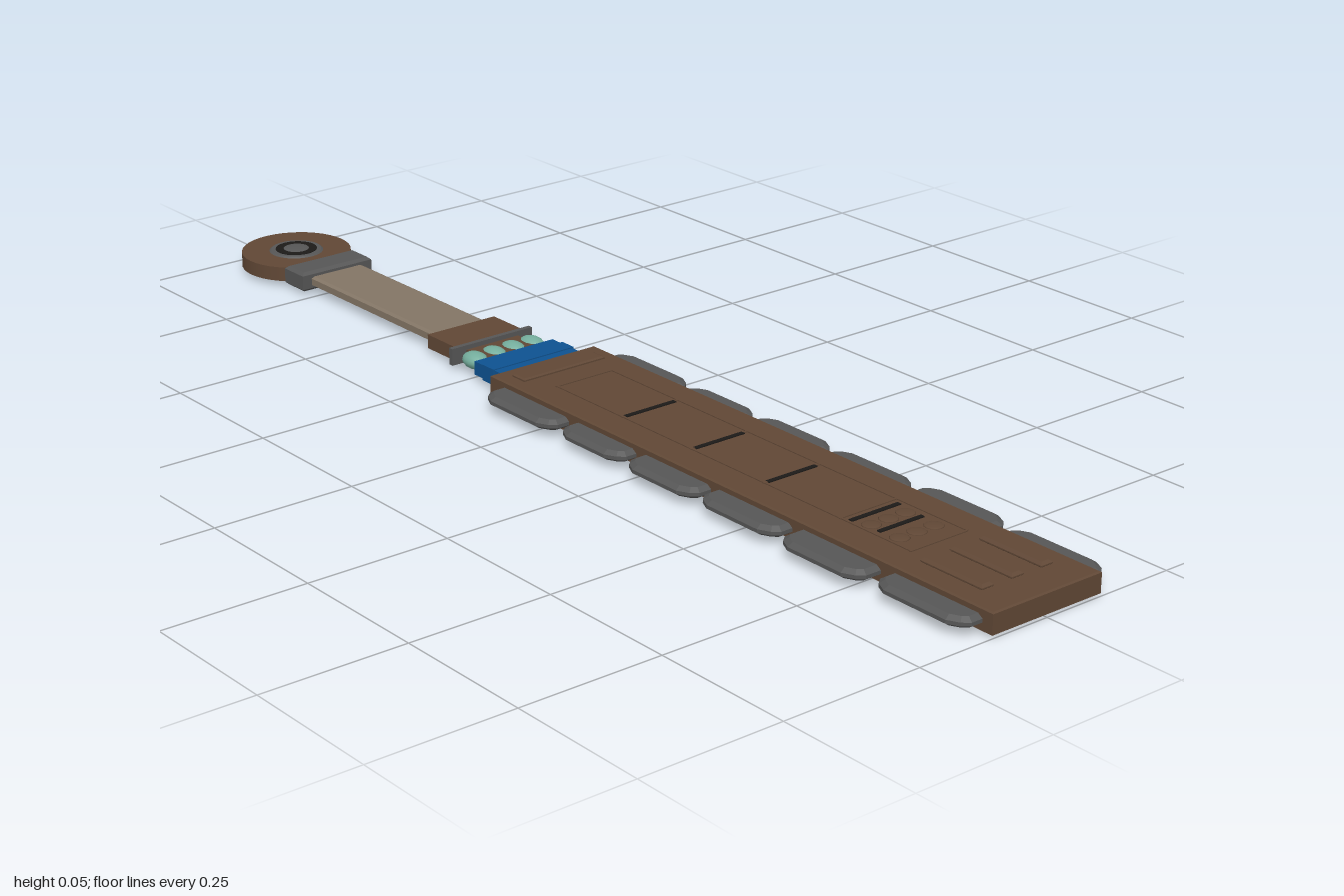
import * as THREE from 'three';

const paint = (name, color) => {
  const m = new THREE.MeshStandardMaterial({ color });
  m.name = name;
  return m;
};

export function createModel() {
  const wood = paint('brown wood', 0x604735);
  const grip = paint('taupe wrap', 0x837565);
  const stone = paint('grey stone', 0x565656);
  const blue = paint('blue cloth', 0x0e5290);
  const teal = paint('teal beads', 0x74ad9c);
  const dark = paint('dark carving', 0x1c1a18);

  const model = new THREE.Group();
  const add = (name, geometry, material, x = 0, y = 0, z = 0) => {
    const mesh = new THREE.Mesh(geometry, material);
    mesh.name = name;
    mesh.position.set(x, y, z);
    model.add(mesh);
    return mesh;
  };
  // Box given by its limits along x and y, and its half width in z
  const block = (name, material, x0, x1, y0, y1, halfZ, z = 0) =>
    add(name, new THREE.BoxGeometry(x1 - x0, y1 - y0, halfZ * 2), material,
      (x0 + x1) / 2, (y0 + y1) / 2, z);
  // Flat outline in plan (x, z), thickened upward with bevelled rims
  const plate = (name, material, points, y0, y1, bevel, bevelHeight) => {
    const shape = new THREE.Shape(points.map(([x, z]) => new THREE.Vector2(x, -z)));
    const g = new THREE.ExtrudeGeometry(shape, {
      depth: y1 - y0 - 2 * bevelHeight, bevelEnabled: true, bevelSegments: 1,
      bevelSize: bevel, bevelOffset: -bevel, bevelThickness: bevelHeight,
    });
    g.rotateX(-Math.PI / 2);
    return add(name, g, material, 0, y0 + bevelHeight, 0);
  };
  const rect = (x0, x1, h, z = 0) => [[x0, z + h], [x1, z + h], [x1, z - h], [x0, z - h]];

  // Paddle
  plate('paddle', wood, rect(-0.16, 1, 0.11), 0.003, 0.04, 0.003, 0.002);
  block('paddleUnderside', wood, -0.15, 0.99, 0, 0.004, 0.08);

  // Stone edge blades: start, end and reach
  const blades = [
    [-0.13, 0.05, 0.155], [0.065, 0.22, 0.152], [0.235, 0.4, 0.155],
    [0.41, 0.585, 0.154], [0.6, 0.775, 0.161], [0.795, 0.98, 0.153],
  ];
  for (const side of [1, -1]) {
    for (const [a, b, r] of blades) {
      const outline = [
        [a, 0.09], [a, r - 0.022], [a + 0.01, r - 0.01], [a + 0.03, r],
        [b - 0.03, r], [b - 0.01, r - 0.01], [b, r - 0.022], [b, 0.09],
      ].map(([x, z]) => [x, z * side]);
      plate('edgeBlade', stone, outline, 0.012, 0.03, 0.009, 0.006);
    }
  }

  // Carved frame, crossbars and dark grooves on the top
  for (const z of [-0.06, 0.055]) block('panelRail', wood, -0.05, 0.78, 0.039, 0.0415, 0.002, z);
  for (const x of [-0.05, 0.12, 0.29, 0.46, 0.63, 0.78]) {
    block('panelCrossbar', wood, x - 0.002, x + 0.002, 0.039, 0.0415, 0.058);
  }
  [[0.12, 0.052], [0.29, 0.05], [0.46, 0.05], [0.645, 0.05], [0.7, 0.045]].forEach(([x, h]) =>
    block('carvedGroove', dark, x - 0.003, x + 0.005, 0.04, 0.0418, h));
  for (const x of [0.675, 0.735]) {
    for (const z of [-0.035, 0, 0.035]) {
      const knob = add('carvedKnob', new THREE.SphereGeometry(0.016, 12, 8), wood, x, 0.04, z);
      knob.scale.y = 0.15;
    }
  }

  // Raised bars at each end of the paddle
  plate('baseBar', wood, rect(-0.132, -0.1, 0.085), 0.038, 0.0445, 0.004, 0.002);
  for (const z of [-0.06, 0, 0.06]) {
    plate('tipRidge', wood, rect(0.815, 0.94, 0.012, z), 0.038, 0.048, 0.005, 0.004);
  }

  // Blue binding with fine folds
  block('blueBinding', blue, -0.24, -0.16, 0.01, 0.034, 0.083);
  block('bindingFold', blue, -0.215, -0.185, 0.008, 0.036, 0.085);

  // Bead row on a wooden core, with a thin stone spacer
  block('beadCore', wood, -0.32, -0.235, 0.014, 0.03, 0.055);
  for (const z of [-0.06, -0.02, 0.02, 0.06]) {
    const bead = add('bead', new THREE.SphereGeometry(0.025, 14, 10), teal, -0.268, 0.022, z);
    bead.scale.set(1.1, 0.58, 0.8);
  }
  block('spacer', stone, -0.309, -0.3, 0.008, 0.038, 0.085);

  // Handle
  block('guard', wood, -0.39, -0.315, 0.01, 0.035, 0.071);
  plate('grip', grip, rect(-0.78, -0.38, 0.056), 0.013, 0.031, 0.006, 0.003);
  plate('collar', stone, rect(-0.825, -0.767, 0.075), 0.005, 0.041, 0.006, 0.005);

  // Round pommel with an inset stone
  add('pommel', new THREE.CylinderGeometry(0.1, 0.1, 0.026, 40), wood, -0.9, 0.022, 0);
  add('pommelRing', new THREE.CylinderGeometry(0.046, 0.05, 0.003, 32), stone, -0.9, 0.036, 0);
  add('pommelInset', new THREE.CylinderGeometry(0.038, 0.038, 0.001, 24), dark, -0.9, 0.038, 0);
  const gem = add('pommelStone', new THREE.SphereGeometry(0.024, 20, 10), stone, -0.9, 0.038, 0);
  gem.scale.y = 0.15;

  return model;
}
